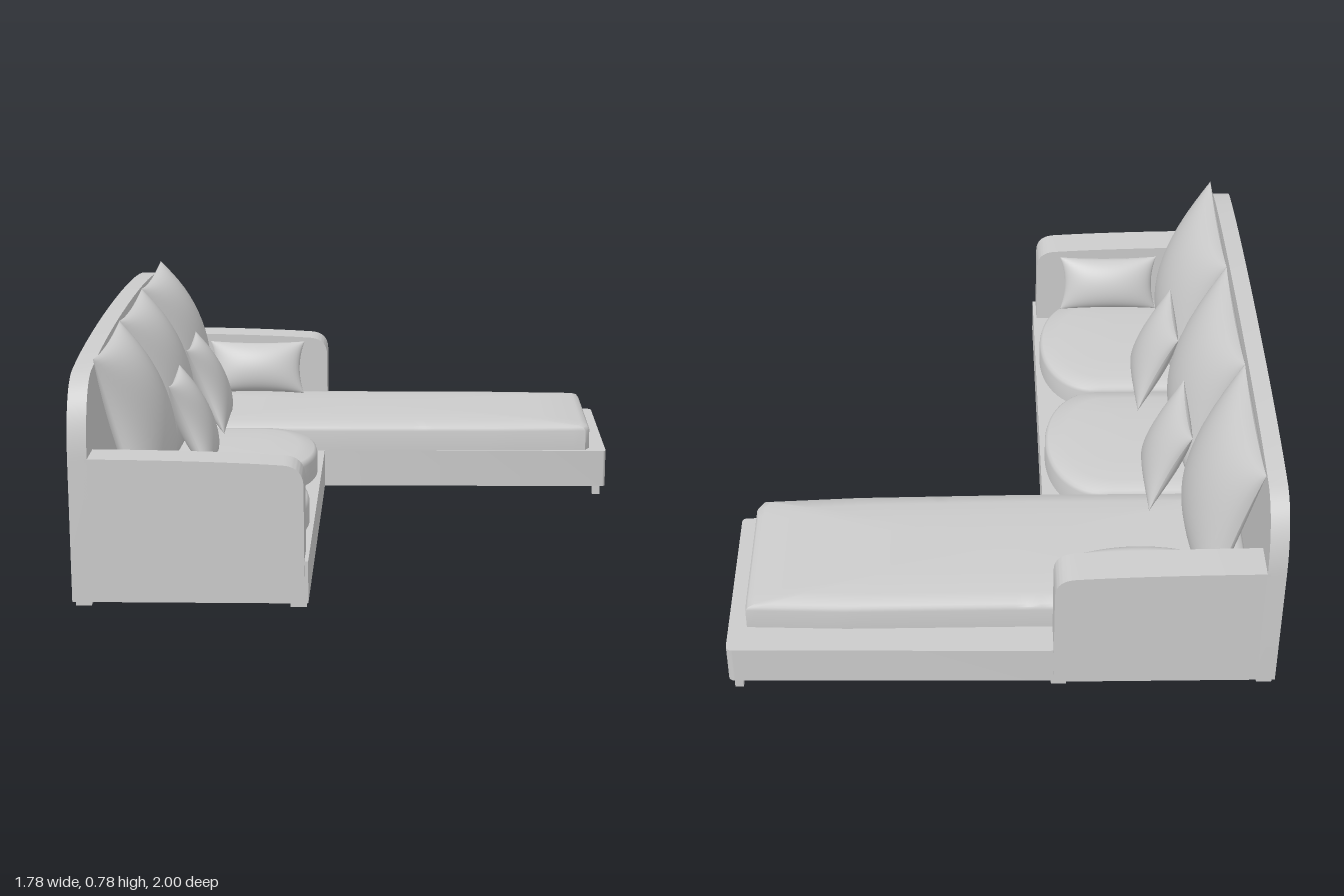
import * as THREE from 'three';
import { mergeGeometries, toCreasedNormals } from 'three/addons/utils/BufferGeometryUtils.js';

const material = new THREE.MeshStandardMaterial({ color: 0xcccccc });
const softMaterial = new THREE.MeshStandardMaterial({ color: 0xcccccc, side: THREE.DoubleSide });

function add(parent, name, geometry, mat = material) {
  const mesh = new THREE.Mesh(geometry, mat);
  mesh.name = name;
  parent.add(mesh);
  return mesh;
}

function extrude(shape, depth) {
  const g = new THREE.ExtrudeGeometry(shape, { depth, bevelEnabled: false, curveSegments: 14 });
  return toCreasedNormals(g, 0.6);
}

// Pillow with pinched sides, sharp corners and a bulge on each face
function pillow(w, h, front, back, pinch) {
  const faces = [front, back].map((bulge, i) => {
    const g = new THREE.PlaneGeometry(2, 2, 22, 22);
    const p = g.attributes.position;
    for (let k = 0; k < p.count; k++) {
      const u = Math.sin(p.getX(k) * Math.PI / 2);
      const v = Math.sin(p.getY(k) * Math.PI / 2);
      const du = Math.max(0, 1 - u * u), dv = Math.max(0, 1 - v * v);
      p.setXYZ(k,
        w / 2 * u * (1 - pinch * dv),
        h / 2 * v * (1 - pinch * 0.7 * du),
        bulge * Math.pow(du * dv, 0.52));
    }
    if (i) g.rotateY(Math.PI);
    g.computeVertexNormals();
    return g;
  });
  return mergeGeometries(faces);
}

function placePillow(parent, name, geometry, lean, yaw, x, y, z) {
  geometry.rotateX(-lean).rotateY(yaw).translate(x, y, z);
  add(parent, name, geometry, softMaterial);
}

// Seat cushion: plan outline lofted upward through rings to a low crown
function cushion(shape, cx, cz, rings) {
  const outline = shape.getSpacedPoints(96).slice(0, -1);
  const n = outline.length, pos = [], index = [];
  for (const [s, y] of rings) {
    for (const p of outline) pos.push(cx + (p.x - cx) * s, y, cz + (p.y - cz) * s);
  }
  for (let r = 0; r < rings.length - 1; r++) {
    for (let i = 0; i < n; i++) {
      const a = r * n + i, b = r * n + (i + 1) % n, c = a + n, d = b + n;
      index.push(a, c, b, b, c, d);
    }
  }
  const g = new THREE.BufferGeometry();
  g.setAttribute('position', new THREE.Float32BufferAttribute(pos, 3));
  g.setIndex(index);
  return toCreasedNormals(g, 0.7);
}

export function createModel() {
  const sofa = new THREE.Group();
  sofa.name = 'cornerSofa';

  // L-shaped plinth with the long chaise side
  const plan = new THREE.Shape();
  plan.moveTo(-0.84, -0.99);
  plan.lineTo(-0.15, -0.995);
  plan.lineTo(0.865, -0.98);
  plan.quadraticCurveTo(0.89, -0.98, 0.89, -0.955);
  plan.lineTo(0.89, -0.345);
  plan.quadraticCurveTo(0.89, -0.325, 0.87, -0.325);
  plan.lineTo(-0.155, -0.315);
  plan.lineTo(-0.155, 0.995);
  plan.lineTo(-0.84, 0.99);
  add(sofa, 'base', extrude(plan, 0.135).rotateX(Math.PI / 2).translate(0, 0.165, 0));

  // Arched back panel
  const arch = new THREE.Shape();
  arch.moveTo(-1, 0.03);
  arch.lineTo(1, 0.03);
  arch.lineTo(1, 0.48);
  arch.bezierCurveTo(1, 0.62, 0.95, 0.715, 0.86, 0.735);
  arch.bezierCurveTo(0.5, 0.79, -0.5, 0.79, -0.86, 0.735);
  arch.bezierCurveTo(-0.95, 0.715, -1, 0.62, -1, 0.48);
  add(sofa, 'backPanel', extrude(arch, 0.06).rotateY(-Math.PI / 2).translate(-0.83, 0, 0));

  // Arms with rounded front top
  const side = new THREE.Shape();
  side.moveTo(-0.84, 0.03);
  side.lineTo(-0.167, 0.03);
  side.lineTo(-0.167, 0.405);
  side.quadraticCurveTo(-0.167, 0.468, -0.23, 0.474);
  side.quadraticCurveTo(-0.45, 0.488, -0.84, 0.49);
  add(sofa, 'leftArm', extrude(side, 0.12).translate(0, 0, 0.88));
  add(sofa, 'rightArm', extrude(side, 0.125).translate(0, 0, -1));

  // Seat cushions with bowed fronts
  const rings = [[0, 0.166], [1, 0.166], [1, 0.235], [0.99, 0.247], [0.965, 0.254],
    [0.8, 0.263], [0.5, 0.268], [0, 0.27]];
  for (const [name, z0, z1] of [['middleSeatCushion', -0.31, 0.28], ['leftSeatCushion', 0.29, 0.88]]) {
    const s = new THREE.Shape();
    s.moveTo(-0.82, z0);
    s.lineTo(-0.36, z0);
    s.bezierCurveTo(-0.24, z0 + 0.01, -0.17, z0 + 0.14, -0.17, (z0 + z1) / 2);
    s.bezierCurveTo(-0.17, z1 - 0.14, -0.24, z1 - 0.01, -0.36, z1);
    s.lineTo(-0.82, z1);
    s.closePath();
    add(sofa, name, cushion(s, -0.5, (z0 + z1) / 2, rings));
  }
  const c = new THREE.Shape();
  c.moveTo(-0.82, -0.88);
  c.lineTo(0.5, -0.885);
  c.lineTo(0.83, -0.872);
  c.lineTo(0.83, -0.34);
  c.lineTo(0.5, -0.322);
  c.lineTo(-0.1, -0.313);
  c.lineTo(-0.82, -0.315);
  c.closePath();
  add(sofa, 'chaiseCushion', cushion(c, 0, -0.6, rings.map(([s, y]) => [s, y + (y > 0.2 ? 0.004 : 0)])));

  // Large back pillows
  for (const z of [0.595, 0.01, -0.575]) {
    placePillow(sofa, 'backPillow', pillow(0.59, 0.545, 0.13, 0.05, 0.08),
      0.27, Math.PI / 2, -0.745, 0.517, z);
  }
  // Small square throw pillows
  for (const z of [0.285, -0.275]) {
    placePillow(sofa, 'throwPillow', pillow(0.33, 0.335, 0.062, 0.055, 0.14),
      0.4, Math.PI / 2, -0.575, 0.435, z);
  }
  // Oblong pillows leaning on the arms
  for (const s of [1, -1]) {
    placePillow(sofa, 'armPillow', pillow(0.37, 0.205, 0.06, 0.05, 0.1),
      0.35, s > 0 ? Math.PI : 0, -0.44, 0.366, s * 0.825);
  }

  // Flat feet under the seat, taller ones under the chaise end
  for (const x of [-0.855, -0.185]) {
    for (const z of [0.945, -0.945]) {
      add(sofa, 'flatFoot', new THREE.BoxGeometry(0.05, 0.015, 0.1).translate(x, 0.0245, z));
    }
  }
  for (const z of [-0.337, -0.965]) {
    add(sofa, 'chaiseFoot', new THREE.BoxGeometry(0.028, 0.032, 0.026).translate(0.856, 0.016, z));
  }
  return sofa;
}
